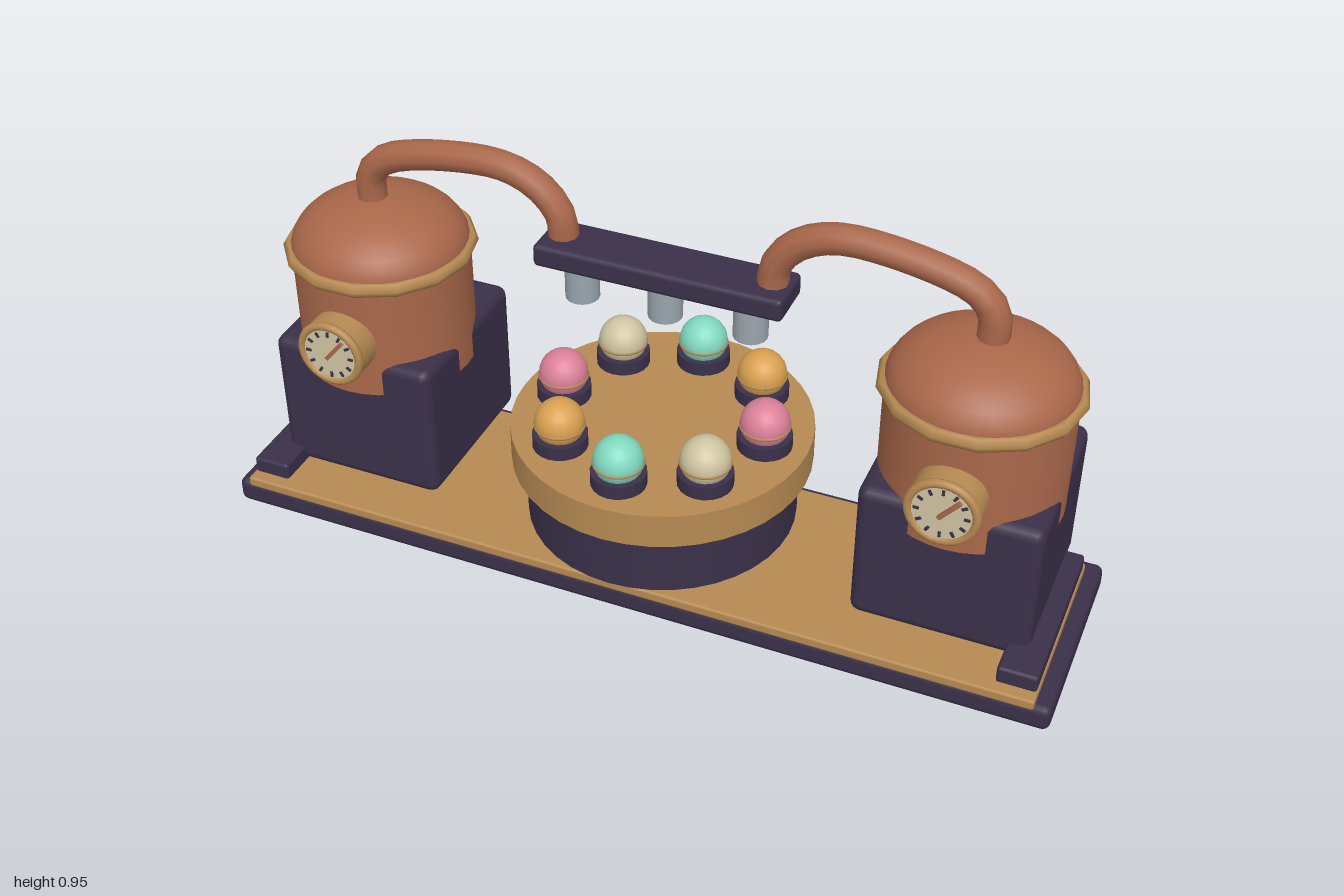
import * as THREE from 'three';
import { RoundedBoxGeometry } from 'three/addons/geometries/RoundedBoxGeometry.js';

const mat = (name, color) => {
  const m = new THREE.MeshStandardMaterial({ color });
  m.name = name;
  return m;
};

export function createModel() {
  const dark = mat('dark purple', 0x3a3049);
  const copper = mat('copper', 0xa9674a);
  const brass = mat('brass', 0xb68a52);
  const steel = mat('steel', 0x9aa5ae);
  const teal = mat('teal', 0x82d9c0);
  const cream = mat('cream', 0xcfc5a2);
  const pink = mat('pink', 0xdb8098);
  const amber = mat('amber', 0xd9a050);

  const model = new THREE.Group();
  model.name = 'distillery';

  const add = (parent, name, geometry, material, x = 0, y = 0, z = 0) => {
    const mesh = new THREE.Mesh(geometry, material);
    mesh.name = name;
    mesh.position.set(x, y, z);
    parent.add(mesh);
    return mesh;
  };
  // Rounded box given by its extents
  const block = (parent, name, material, x0, x1, y0, y1, z0, z1, r) =>
    add(parent, name, new RoundedBoxGeometry(x1 - x0, y1 - y0, z1 - z0, 2, r), material,
      (x0 + x1) / 2, (y0 + y1) / 2, (z0 + z1) / 2);
  // Upright cylinder given by its bottom and top
  const drum = (parent, name, material, r, y0, y1, x = 0, z = 0, sides = 32) =>
    add(parent, name, new THREE.CylinderGeometry(r, r, y1 - y0, sides), material, x, (y0 + y1) / 2, z);

  // Base
  block(model, 'base', dark, -1, 1, 0, 0.064, -0.237, 0.274, 0.018);
  block(model, 'basePlate', brass, -0.963, 0.963, 0.06, 0.086, -0.197, 0.281, 0.006);

  // Turntable
  drum(model, 'turntableDrum', dark, 0.314, 0.112, 0.27, 0, 0, 40);
  drum(model, 'turntableTop', brass, 0.347, 0.267, 0.352, 0, 0, 40);

  // Ring of eight balls on small stands
  const ballColors = [teal, cream, pink, amber];
  for (let i = 0; i < 8; i++) {
    const a = (i * Math.PI) / 4;
    const holder = new THREE.Group();
    holder.name = 'ballHolder';
    holder.position.set(0.247 * Math.sin(a), 0, 0.247 * Math.cos(a));
    model.add(holder);
    drum(holder, 'ballStand', dark, 0.063, 0.35, 0.385, 0, 0, 20);
    add(holder, 'ball', new THREE.SphereGeometry(0.057, 20, 14), ballColors[i % 4], 0, 0.414, 0);
    const ring = add(holder, 'ballRing', new THREE.TorusGeometry(0.055, 0.004, 6, 24), brass, 0, 0.407, 0);
    ring.rotation.x = Math.PI / 2;
  }

  // Bar with three nozzles
  block(model, 'nozzleBar', dark, -0.29, 0.29, 0.72, 0.775, -0.08, 0.05, 0.012);
  for (const x of [-0.2, 0, 0.2]) drum(model, 'nozzle', steel, 0.039, 0.628, 0.725, x, -0.015, 16);

  // Gauge facing +z
  const makeGauge = () => {
    const gauge = new THREE.Group();
    gauge.name = 'gauge';
    const disc = (name, material, r, z0, z1) => {
      const m = add(gauge, name, new THREE.CylinderGeometry(r, r, z1 - z0, 28), material, 0, 0, (z0 + z1) / 2);
      m.rotation.x = Math.PI / 2;
    };
    disc('gaugeBody', brass, 0.08, 0.16, 0.235);
    add(gauge, 'gaugeRim', new THREE.TorusGeometry(0.073, 0.01, 8, 28), brass, 0, 0, 0.236);
    disc('gaugeFace', cream, 0.067, 0.234, 0.24);
    for (let i = 0; i < 12; i++) {
      const a = (i * Math.PI) / 6;
      const tick = add(gauge, 'gaugeTick', new THREE.BoxGeometry(0.006, 0.013, 0.004), dark,
        0.054 * Math.sin(a), 0.054 * Math.cos(a), 0.241);
      tick.rotation.z = -a;
    }
    const needle = add(gauge, 'gaugeNeedle', new THREE.BoxGeometry(0.009, 0.066, 0.009), copper, 0.017, 0.018, 0.247);
    needle.rotation.z = -0.7;
    return gauge;
  };

  // Stills on both sides
  const TZ = -0.02;
  const TX = 0.715;
  for (const s of [-1, 1]) {
    const still = new THREE.Group();
    still.name = s > 0 ? 'leftStill' : 'rightStill';
    model.add(still);

    block(still, 'housing', dark, s * TX - 0.203, s * TX + 0.203, 0.085, 0.435, -0.25, 0.167, 0.025);
    block(still, 'sideRail', dark, s * 0.915 - 0.045, s * 0.915 + 0.045, 0.08, 0.125, -0.18, 0.25, 0.008);

    drum(still, 'tank', copper, 0.206, 0.35, 0.65, s * TX, TZ, 36);
    const rim = add(still, 'tankRim', new THREE.TorusGeometry(0.207, 0.018, 6, 14), brass, s * TX, 0.641, TZ);
    rim.rotation.x = Math.PI / 2;
    const dome = add(still, 'dome',
      new THREE.SphereGeometry(0.206, 36, 10, 0, Math.PI * 2, 0, Math.PI / 2), copper, s * TX, 0.645, TZ);
    dome.scale.y = 0.12 / 0.206;

    // Pipe from the dome to the bar
    const path = new THREE.CatmullRomCurve3(
      [[0.724, 0.74], [0.722, 0.82], [0.675, 0.87], [0.4, 0.917], [0.3, 0.882], [0.25, 0.82], [0.245, 0.76]]
        .map(([x, y]) => new THREE.Vector3(s * x, y, TZ)));
    add(still, 'pipe', new THREE.TubeGeometry(path, 20, 0.035, 10), copper);

    const gauge = makeGauge();
    gauge.position.set(s * TX, 0.49, 0);
    still.add(gauge);
  }
  return model;
}
